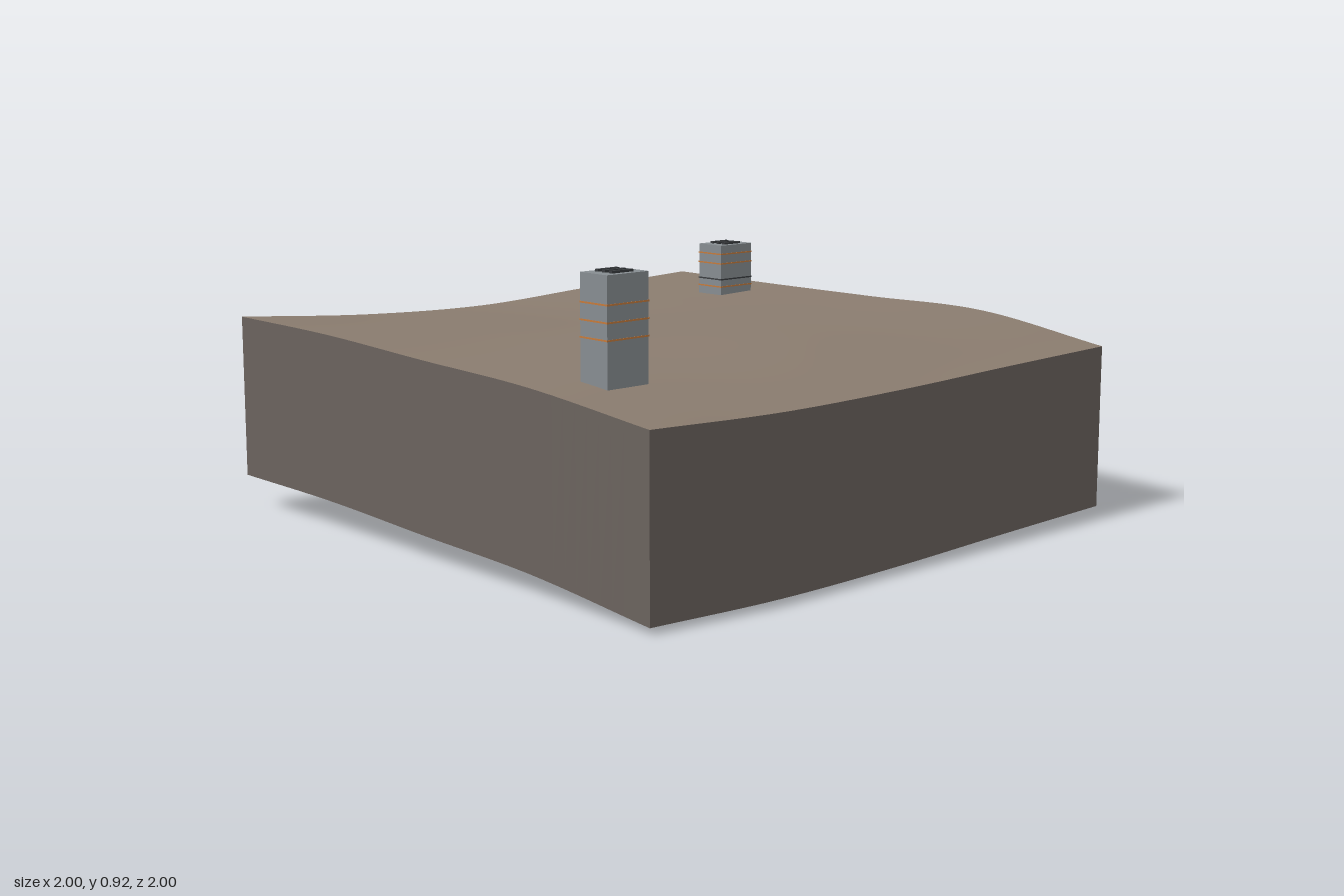
import * as THREE from 'three';

// Ground heights: rows run back to front, columns from -x to +x
const HEIGHTS = [
  [0.633, 0.63, 0.63, 0.63, 0.562],
  [0.612, 0.615, 0.621, 0.621, 0.552],
  [0.59, 0.602, 0.62, 0.622, 0.54],
  [0.605, 0.62, 0.618, 0.607, 0.538],
  [0.645, 0.64, 0.62, 0.602, 0.556],
];
const DEPTH = 0.535;
const SEGMENTS = 40;

// Smooth curve through five evenly spaced values, t from -1 to 1
function smooth(values, t) {
  const f = (t + 1) * 2;
  const i = Math.min(3, Math.max(0, Math.floor(f)));
  const u = f - i;
  const b = values[i], c = values[i + 1];
  const a = i > 0 ? values[i - 1] : 2 * b - c;
  const d = i < 3 ? values[i + 2] : 2 * c - b;
  return b + 0.5 * u * (c - a + u * (2 * a - 5 * b + 4 * c - d + u * (3 * (b - c) + d - a)));
}

const groundHeight = (x, z) => smooth(HEIGHTS.map((row) => smooth(row, x)), z);

export function createModel() {
  const model = new THREE.Group();
  const material = (name, color, side = THREE.FrontSide) => {
    const m = new THREE.MeshStandardMaterial({ color, side });
    m.name = name;
    return m;
  };
  const earth = material('brown earth', 0x8a7c6f, THREE.DoubleSide);
  const rock = material('dark earth', 0x6b635e, THREE.DoubleSide);
  const concrete = material('grey concrete', 0x878d91);
  const orange = material('orange', 0xc47a3c);
  const dark = material('dark metal', 0x3a3d40);

  const add = (parent, name, geometry, mat, x = 0, y = 0, z = 0) => {
    const mesh = new THREE.Mesh(geometry, mat);
    mesh.name = name;
    mesh.position.set(x, y, z);
    parent.add(mesh);
    return mesh;
  };

  // Rolling ground surface
  const ground = new THREE.PlaneGeometry(2, 2, SEGMENTS, SEGMENTS).rotateX(-Math.PI / 2);
  const p = ground.attributes.position;
  for (let i = 0; i < p.count; i++) p.setY(i, groundHeight(p.getX(i), p.getZ(i)));
  ground.computeVertexNormals();
  add(model, 'ground', ground, earth);

  // Four side walls, open below, whose lower edges follow the ground
  ['frontWall', 'leftWall', 'backWall', 'rightWall'].forEach((name, k) => {
    const wall = new THREE.PlaneGeometry(2, 1, SEGMENTS, 1);
    wall.translate(0, 0, 1).rotateY((k * Math.PI) / 2);
    const q = wall.attributes.position;
    for (let i = 0; i < q.count; i++) {
      const top = groundHeight(q.getX(i), q.getZ(i));
      q.setY(i, q.getY(i) > 0 ? top : top - DEPTH);
    }
    add(model, name, wall, rock);
  });

  // Vent tower with thin bands round it and three bars on its roof
  const W = 0.115, D = 0.155;
  function addTower(name, x, z, bottom, top, bands) {
    const tower = new THREE.Group();
    tower.name = name;
    tower.position.set(x, 0, z);
    model.add(tower);
    add(tower, 'towerBody', new THREE.BoxGeometry(W, top - bottom, D), concrete, 0, (top + bottom) / 2, 0);
    for (const [y, mat] of bands) {
      add(tower, 'band', new THREE.BoxGeometry(W + 0.003, 0.005, D + 0.003), mat, 0, y, 0);
    }
    for (const bx of [-0.03, 0, 0.03]) {
      add(tower, 'roofBar', new THREE.BoxGeometry(0.013, 0.008, 0.08), dark, bx, top + 0.003, 0);
    }
  }
  addTower('tallTower', 0.58, 0.75, 0.585, 0.914, [[0.73, orange], [0.78, orange], [0.83, orange]]);
  addTower('shortTower', -0.502, -0.75, 0.6, 0.802,
    [[0.65, orange], [0.677, dark], [0.735, orange], [0.77, orange]]);

  return model;
}
